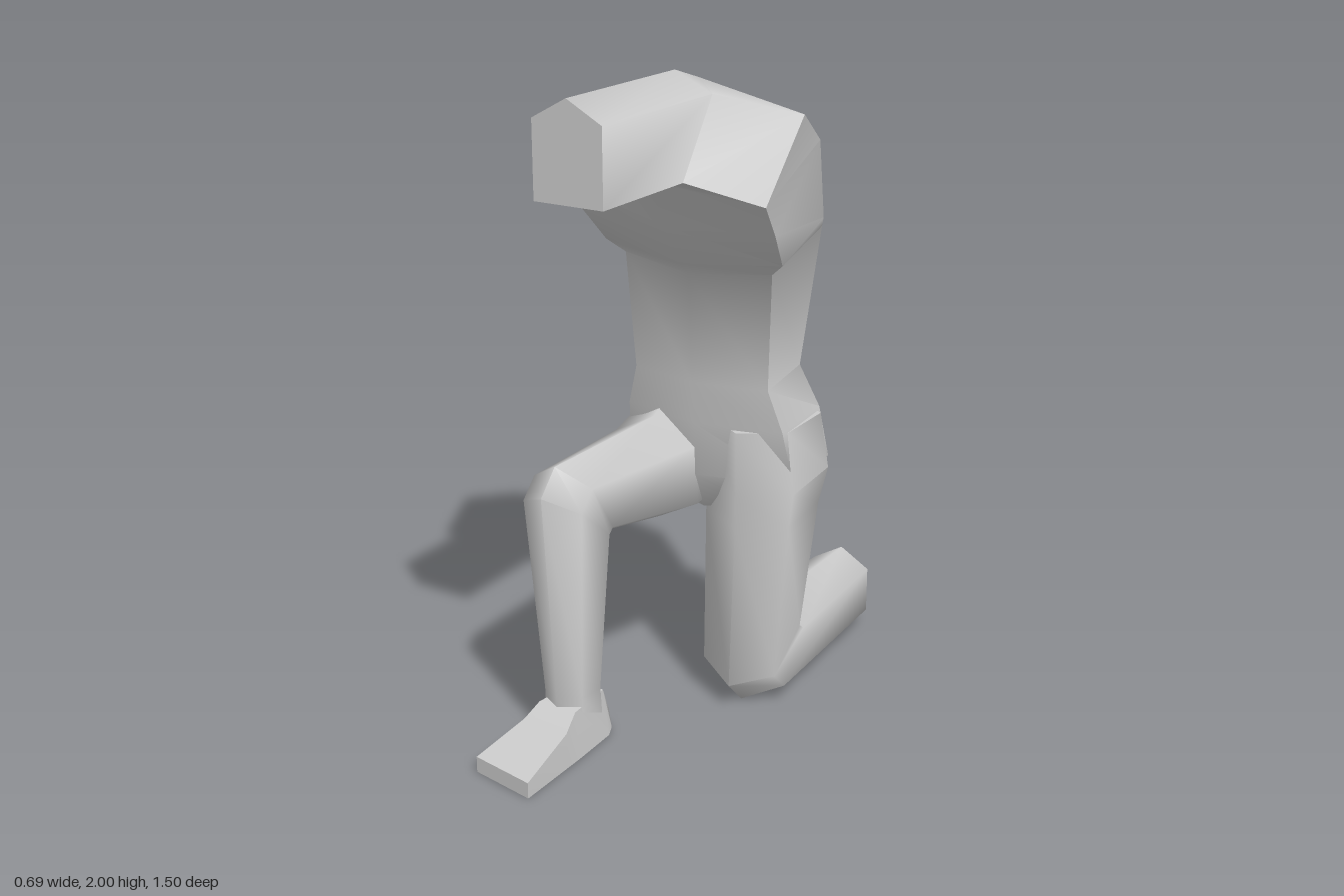
import * as THREE from 'three';
import { toCreasedNormals } from 'three/addons/utils/BufferGeometryUtils.js';

const material = new THREE.MeshStandardMaterial({ color: 0xcccccc });

// Skin a closed solid over a list of rings with equal point counts, with both ends capped
function loft(name, rings) {
  const n = rings[0].length, pos = rings.flat(2), index = [];
  rings.slice(1).forEach((_, r) => {
    for (let i = 0; i < n; i++) {
      const a = r * n + i, b = r * n + (i + 1) % n;
      index.push(a, b, b + n, a, b + n, a + n);
    }
  });
  const cap = (r, flip) => {
    const c = pos.length / 3;
    for (let k = 0; k < 3; k++) pos.push(rings[r].reduce((s, p) => s + p[k], 0) / n);
    for (let i = 0; i < n; i++) {
      const a = r * n + i, b = r * n + (i + 1) % n;
      index.push(c, flip ? b : a, flip ? a : b);
    }
  };
  cap(0, true);
  cap(rings.length - 1, false);

  // Turn the faces outward if the rings run the other way round
  let volume = 0;
  const v = (i) => new THREE.Vector3().fromArray(pos, i * 3);
  for (let i = 0; i < index.length; i += 3) {
    volume += v(index[i]).dot(v(index[i + 1]).cross(v(index[i + 2])));
  }
  if (volume < 0) index.reverse();

  const g = new THREE.BufferGeometry();
  g.setAttribute('position', new THREE.Float32BufferAttribute(pos, 3));
  g.setIndex(index);
  const mesh = new THREE.Mesh(toCreasedNormals(g, 1.2), material);
  mesh.name = name;
  return mesh;
}

// Symmetric ring: back [y,z], rear side [x,y,z], front side [x,y,z], front [y,z]
const bodyRing = ([back, s1, s2, front]) => {
  const mirror = ([x, y, z]) => [-x, y, z];
  return [[0, ...back], s1, s2, [0, ...front], mirror(s2), mirror(s1)];
};

// Six-sided limb ring between two x limits, running from point A to point B in (y, z)
const PROFILE = [[0.5, 0], [1, 0.22], [1, 0.78], [0.5, 1], [0, 0.78], [0, 0.22]];
const limbRing = ([x0, x1, yA, zA, yB, zB]) => PROFILE.map(([u, t]) => [
  x0 + (x1 - x0) * u, yA + (yB - yA) * t, zA + (zB - zA) * t,
]);

// Foot ring: sole limits, top limits, sole and top heights, z at outer and inner side
const footRing = ([b0, b1, t0, t1, y0, y1, zo, zi]) => [
  [b0, y0, zo], [b1, y0, zi], [t1, y1, zi], [t0, y1, zo],
];

export function createModel() {
  const model = new THREE.Group();
  model.name = 'kneelingFigure';

  // Pelvis, waist, chest bending forward, shoulders and neck
  model.add(loft('torso', [
    [[0.61, -0.28], [0.17, 0.64, -0.27], [0.17, 0.66, -0.1], [0.64, -0.06]],
    [[0.75, -0.37], [0.28, 0.77, -0.34], [0.29, 0.75, -0.1], [0.76, -0.01]],
    [[0.93, -0.38], [0.25, 0.93, -0.33], [0.27, 0.93, -0.06], [0.93, 0]],
    [[1.06, -0.35], [0.19, 1.06, -0.31], [0.23, 1.06, -0.04], [1.06, 0.01]],
    [[1.5, -0.39], [0.25, 1.5, -0.32], [0.25, 1.42, -0.02], [1.4, 0.03]],
    [[1.53, -0.38], [0.26, 1.53, -0.31], [0.3, 1.46, 0.01], [1.44, 0.08]],
    [[1.81, -0.29], [0.29, 1.78, -0.22], [0.325, 1.57, 0.1], [1.57, 0.16]],
    [[1.96, -0.03], [0.345, 1.89, -0.02], [0.345, 1.67, 0.19], [1.71, 0.23]],
    [[2, 0.1], [0.11, 1.94, 0.08], [0.11, 1.72, 0.235], [1.72, 0.24]],
    [[2, 0.62], [0.11, 1.94, 0.62], [0.11, 1.72, 0.62], [1.72, 0.62]],
  ].map(bodyRing)));

  // Kneeling leg: thigh straight down, shin straight back
  model.add(loft('leftLeg', [
    [0.01, 0.27, 0.92, -0.01, 0.92, -0.385],
    [0, 0.295, 0.72, 0, 0.75, -0.4],
    [0, 0.29, 0.62, 0, 0.65, -0.335],
    [0, 0.255, 0.08, 0, 0.27, -0.285],
    [0, 0.255, 0, -0.08, 0.27, -0.295],
    [0.03, 0.23, 0, -0.75, 0.27, -0.75],
  ].map(limbRing)));

  // Raised leg: buttock, thigh forward, shin down to the ankle
  model.add(loft('rightLeg', [
    [-0.26, 0, 1.0, -0.13, 0.76, -0.4],
    [-0.285, 0, 0.96, -0.07, 0.62, -0.29],
    [-0.285, 0, 0.925, 0, 0.585, -0.03],
    [-0.285, -0.08, 0.905, 0.46, 0.63, 0.28],
    [-0.285, -0.08, 0.83, 0.53, 0.63, 0.285],
    [-0.245, -0.11, 0.18, 0.49, 0.17, 0.32],
    [-0.245, -0.11, 0.08, 0.49, 0.08, 0.31],
  ].map(limbRing)));

  // Planted foot, from heel to toes
  model.add(loft('rightFoot', [
    [-0.21, -0.11, -0.21, -0.12, 0.01, 0.07, 0.3, 0.3],
    [-0.24, -0.1, -0.22, -0.12, 0, 0.15, 0.33, 0.33],
    [-0.27, -0.095, -0.24, -0.11, 0, 0.15, 0.49, 0.49],
    [-0.28, -0.095, -0.26, -0.1, 0, 0.11, 0.54, 0.55],
    [-0.31, -0.095, -0.31, -0.095, 0, 0.05, 0.71, 0.75],
  ].map(footRing)));

  return model;
}
